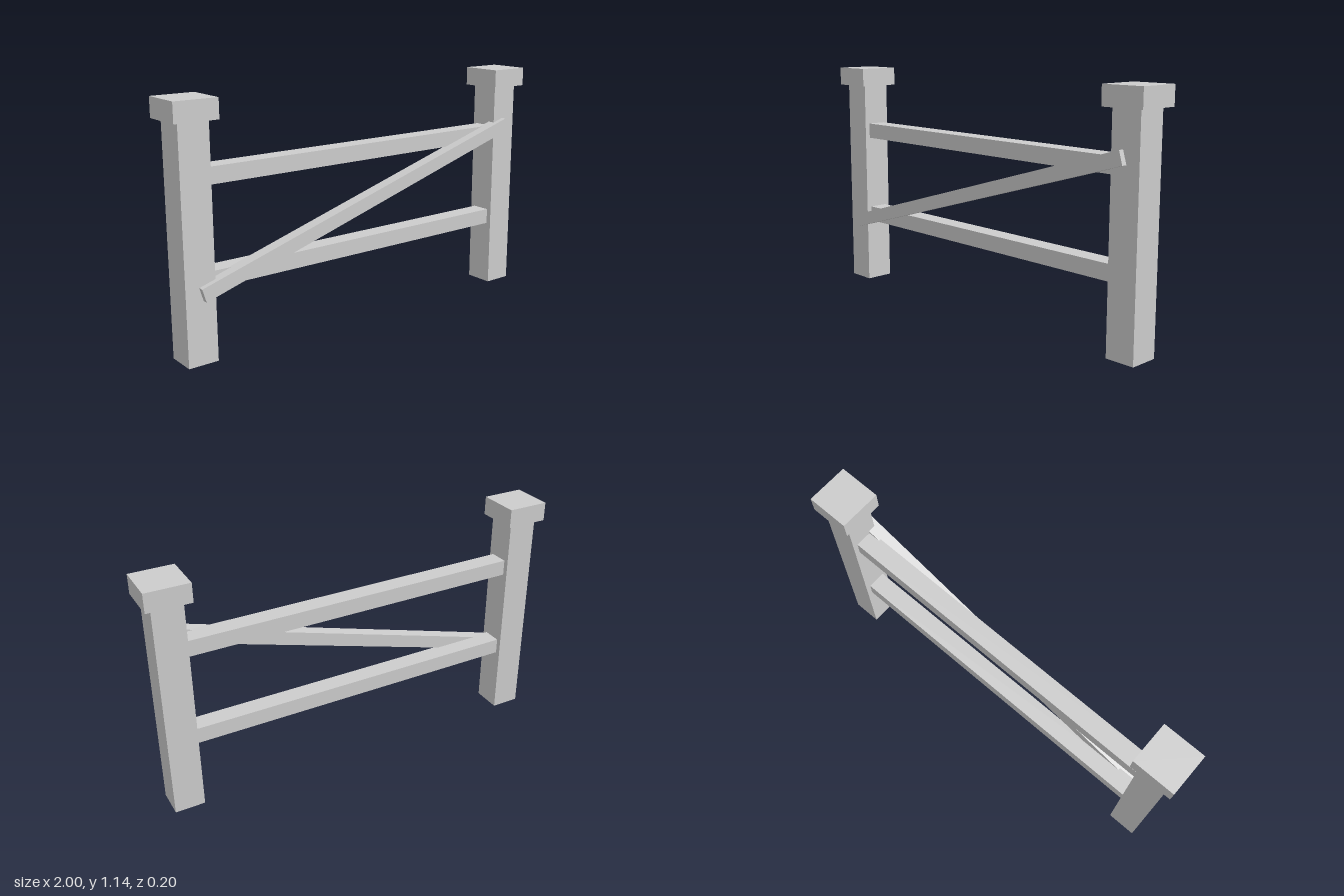
import * as THREE from 'three';

export function createModel() {
  const group = new THREE.Group();
  group.name = 'fenceSection';
  const paleGrey = new THREE.MeshStandardMaterial({ color: 0xcccccc });
  paleGrey.name = 'paleGrey';

  function addBox(name, size, position) {
    const mesh = new THREE.Mesh(new THREE.BoxGeometry(...size), paleGrey);
    mesh.name = name;
    mesh.position.set(...position);
    group.add(mesh);
    return mesh;
  }

  // Square posts with overhanging caps
  for (const [side, s] of [['left', 1], ['right', -1]]) {
    addBox(side + 'Post', [0.142, 1.05, 0.142], [s * 0.898, 0.525, 0]);
    addBox(side + 'PostCap', [0.204, 0.09, 0.204], [s * 0.898, 1.095, 0]);
  }

  // Horizontal rails between the posts
  addBox('lowerRail', [1.66, 0.076, 0.092], [0, 0.361, 0]);
  addBox('upperRail', [1.66, 0.076, 0.092], [0, 0.811, 0]);

  // Diagonal brace laid across the front
  const brace = addBox('diagonalBrace', [1.87, 0.064, 0.062], [0, 0.586, 0.066]);
  brace.rotation.z = Math.atan2(0.3, 1);

  return group;
}
